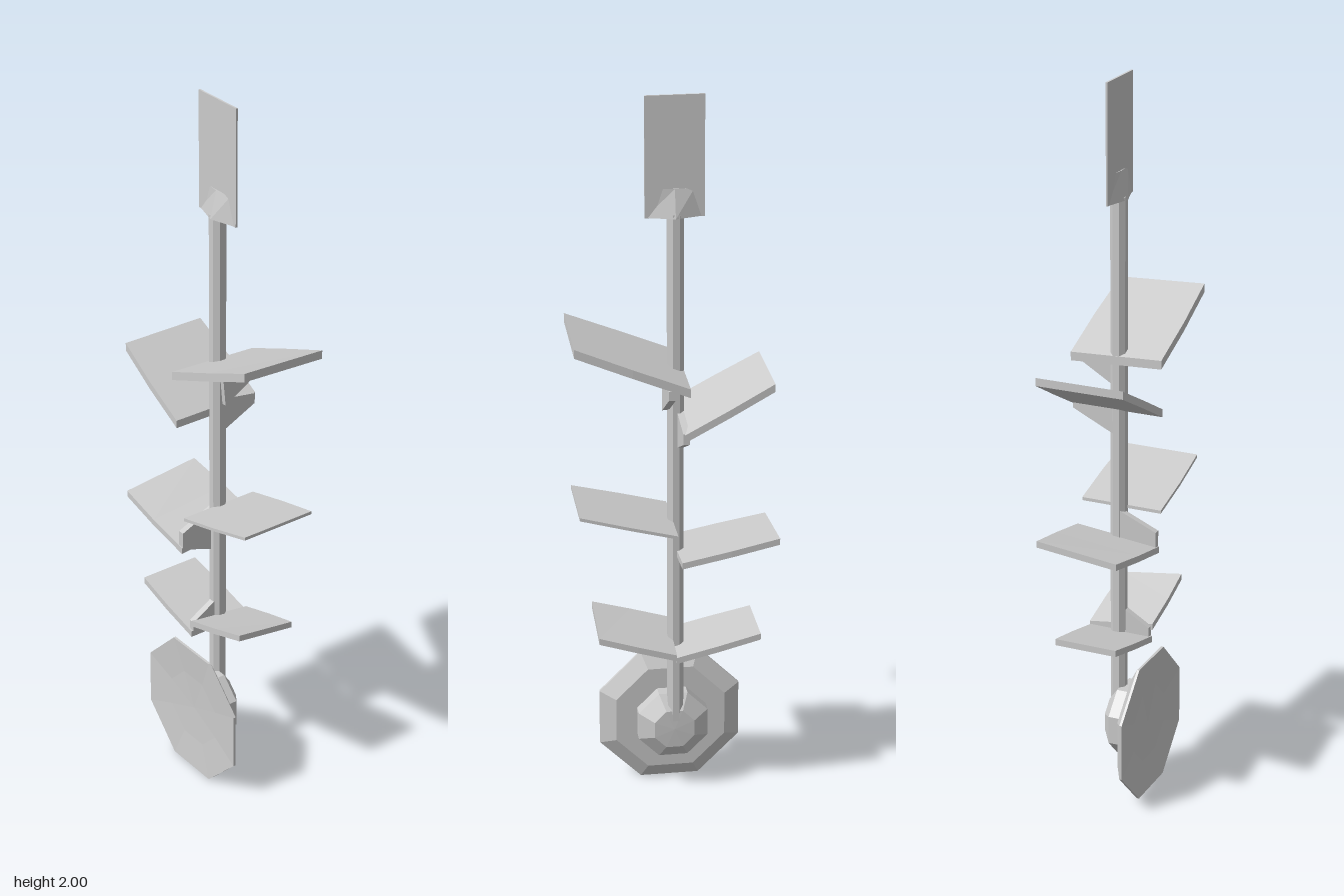
import * as THREE from 'three';

const material = new THREE.MeshStandardMaterial({
  color: 0xcccccc, flatShading: true, side: THREE.DoubleSide,
});

function add(parent, name, geometry, x = 0, y = 0, z = 0) {
  const mesh = new THREE.Mesh(geometry, material);
  mesh.name = name;
  mesh.position.set(x, y, z);
  parent.add(mesh);
  return mesh;
}

// Slab from root to tip; tilt raises its front edge, the tip is a little narrower
function leafGeometry([x0, y0], [x1, y1], zBack, zFront, thick, tilt) {
  const g = new THREE.BoxGeometry(1, 1, 1, 2, 1, 1);
  const p = g.attributes.position;
  for (let i = 0; i < p.count; i++) {
    const t = p.getX(i) + 0.5, s = p.getZ(i) + 0.5;
    const narrow = t > 0.9 ? 0.95 : 1;
    p.setXYZ(i,
      x0 + (x1 - x0) * t,
      y0 + (y1 - y0) * t + p.getY(i) * thick + (s - 0.5) * tilt,
      (zBack + (zFront - zBack) * s) * narrow);
  }
  g.computeVertexNormals();
  return g;
}

// Thin plate in the z-y plane, centred on x = 0
function finGeometry(points) {
  const shape = new THREE.Shape(points.map(([z, y]) => new THREE.Vector2(-z, y)));
  const g = new THREE.ExtrudeGeometry(shape, { depth: 0.018, bevelEnabled: false });
  g.translate(0, 0, -0.009);
  g.rotateY(Math.PI / 2);
  return g;
}

// Octagonal turned profile of [radius, z] points, facing z
function octagonGeometry(profile) {
  const g = new THREE.LatheGeometry(profile.map(([r, z]) => new THREE.Vector2(r, z)), 8, Math.PI / 8);
  g.rotateX(Math.PI / 2);
  return g;
}

export function createModel() {
  const model = new THREE.Group();
  model.name = 'plantOrnament';

  // Stem
  const stem = new THREE.CylinderGeometry(0.023, 0.023, 1.46, 8);
  stem.rotateY(Math.PI / 8);
  add(model, 'stem', stem, -0.008, 0.96, 0);

  // Flat panel at the top, with a wedge-shaped socket
  add(model, 'topPanel', new THREE.BoxGeometry(0.155, 0.32, 0.005), -0.006, 1.84, 0);
  const socket = new THREE.CylinderGeometry(1, 1, 0.075, 4, 1);
  const p = socket.attributes.position;
  for (let i = 0; i < p.count; i++) {
    const top = p.getY(i) > 0;
    p.setX(i, p.getX(i) * (top ? 0.052 : 0.077));
    p.setZ(i, p.getZ(i) * (top ? 0.006 : 0.024));
  }
  socket.computeVertexNormals();
  add(model, 'topSocket', socket, -0.006, 1.718, 0);

  // Leaves: root, tip, back z, front z, thickness, front rise
  const leaves = [
    ['upperRightLeaf', [-0.03, 1.25], [0.27, 1.372], -0.13, 0.13, 0.024, 0.012],
    ['upperLeftLeaf', [-0.015, 1.118], [-0.252, 1.245], -0.13, 0.128, 0.022, 0],
    ['middleRightLeaf', [0, 0.83], [0.26, 0.897], -0.113, 0.118, 0.009, 0],
    ['middleLeftLeaf', [-0.01, 0.738], [-0.273, 0.79], -0.122, 0.118, 0.018, -0.025],
    ['lowerRightLeaf', [0, 0.475], [0.21, 0.538], -0.092, 0.095, 0.018, 0.026],
    ['lowerLeftLeaf', [0, 0.453], [-0.23, 0.508], -0.09, 0.095, 0.018, 0],
  ];
  for (const [name, ...spec] of leaves) add(model, name, leafGeometry(...spec));

  // Fins joining the leaves to the stem: x, then z-y outline
  const fins = [
    ['upperRightFin', 0.018, [[0.01, 1.26], [-0.125, 1.25], [-0.125, 1.225], [0, 1.15]]],
    ['upperLeftFin', -0.02, [[0, 1.15], [-0.125, 1.13], [-0.125, 1.1], [0, 1.04]]],
    ['middleFin', -0.018, [[0, 0.83], [0.115, 0.78], [0.115, 0.73], [0, 0.69]]],
    ['lowerFin', -0.006, [[-0.01, 0.55], [0.09, 0.49], [0.09, 0.462], [-0.01, 0.445]]],
  ];
  for (const [name, x, outline] of fins) add(model, name, finGeometry(outline), x);

  // Octagonal disc, chamfered behind and slightly dished in front
  add(model, 'disc', octagonGeometry(
    [[0, 0.062], [0.165, 0.062], [0.212, 0.088], [0.212, 0.095], [0.11, 0.088], [0, 0.085]],
  ), -0.004, 0.2, 0);

  // Hub joining the disc to the stem
  add(model, 'hub', octagonGeometry(
    [[0, -0.022], [0.06, -0.02], [0.104, 0.01], [0.104, 0.045], [0.085, 0.065], [0, 0.065]],
  ), -0.004, 0.205, 0);

  return model;
}
